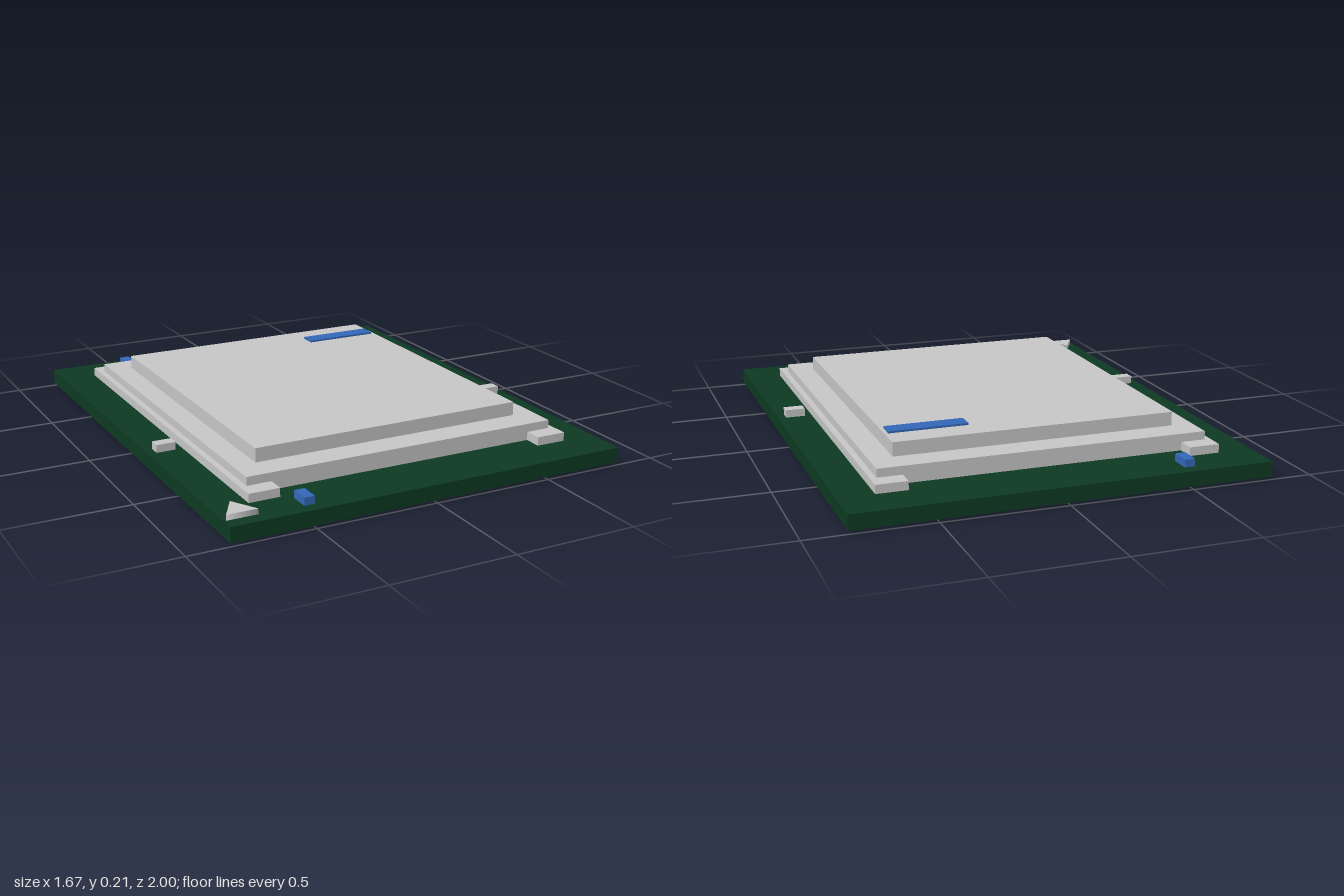
import * as THREE from 'three';

const mat = (name, color) => {
  const m = new THREE.MeshStandardMaterial({ color });
  m.name = name;
  return m;
};

export function createModel() {
  const green = mat('board green', 0x0d3a21);
  const silver = mat('silver grey', 0xc8c8c8);
  const blue = mat('marker blue', 0x3468ba);
  const group = new THREE.Group();

  // Box from its x, y and z limits
  const block = (name, material, [x0, x1], [y0, y1], [z0, z1]) => {
    const mesh = new THREE.Mesh(new THREE.BoxGeometry(x1 - x0, y1 - y0, z1 - z0), material);
    mesh.position.set((x0 + x1) / 2, (y0 + y1) / 2, (z0 + z1) / 2);
    mesh.name = name;
    group.add(mesh);
  };

  // Circuit board and the contact plate below it
  const top = 0.073;
  block('contactPlate', silver, [-0.77, 0.77], [0, 0.02], [-0.928, 0.928]);
  block('board', green, [-0.833, 0.833], [0.012, top], [-1, 1]);

  // Lid base: H-shaped flange with a tab at each corner
  const flange = new THREE.Shape();
  [[0.69, 0.838], [0.565, 0.838], [0.565, 0.765], [-0.565, 0.765], [-0.565, 0.838], [-0.69, 0.838],
    [-0.69, -0.838], [-0.565, -0.838], [-0.565, -0.765], [0.565, -0.765], [0.565, -0.838], [0.69, -0.838],
  ].forEach(([x, y], i) => (i ? flange.lineTo(x, y) : flange.moveTo(x, y)));
  const flangeMesh = new THREE.Mesh(
    new THREE.ExtrudeGeometry(flange, { depth: 0.035, bevelEnabled: false }), silver);
  flangeMesh.rotation.x = -Math.PI / 2;
  flangeMesh.position.y = top;
  flangeMesh.name = 'lidFlange';
  group.add(flangeMesh);

  // Stepped metal lid
  block('lidStep', silver, [-0.665, 0.665], [0.108, 0.142], [-0.767, 0.767]);
  block('lidTop', silver, [-0.575, 0.572], [0.142, 0.198], [-0.657, 0.652]);
  block('lidMarking', blue, [0.238, 0.557], [0.198, 0.206], [-0.55, -0.48]);

  // Small parts along the board edges
  for (const s of [-1, 1]) {
    const x = s * 0.759;
    block('sideContact', silver, [x - 0.04, x + 0.04], [top, 0.105], [0.174, 0.222]);
    const z = s * 0.911;
    block('edgeMarker', blue, [-0.526, -0.484], [top, 0.104], [z - 0.04, z + 0.04]);
  }

  // Triangular orientation mark in the corner
  const mark = new THREE.Mesh(new THREE.CylinderGeometry(0.071, 0.071, 0.022, 3), silver);
  mark.rotation.y = Math.PI;
  mark.position.set(-0.762, top + 0.011, 0.908);
  mark.name = 'cornerMark';
  group.add(mark);

  return group;
}
